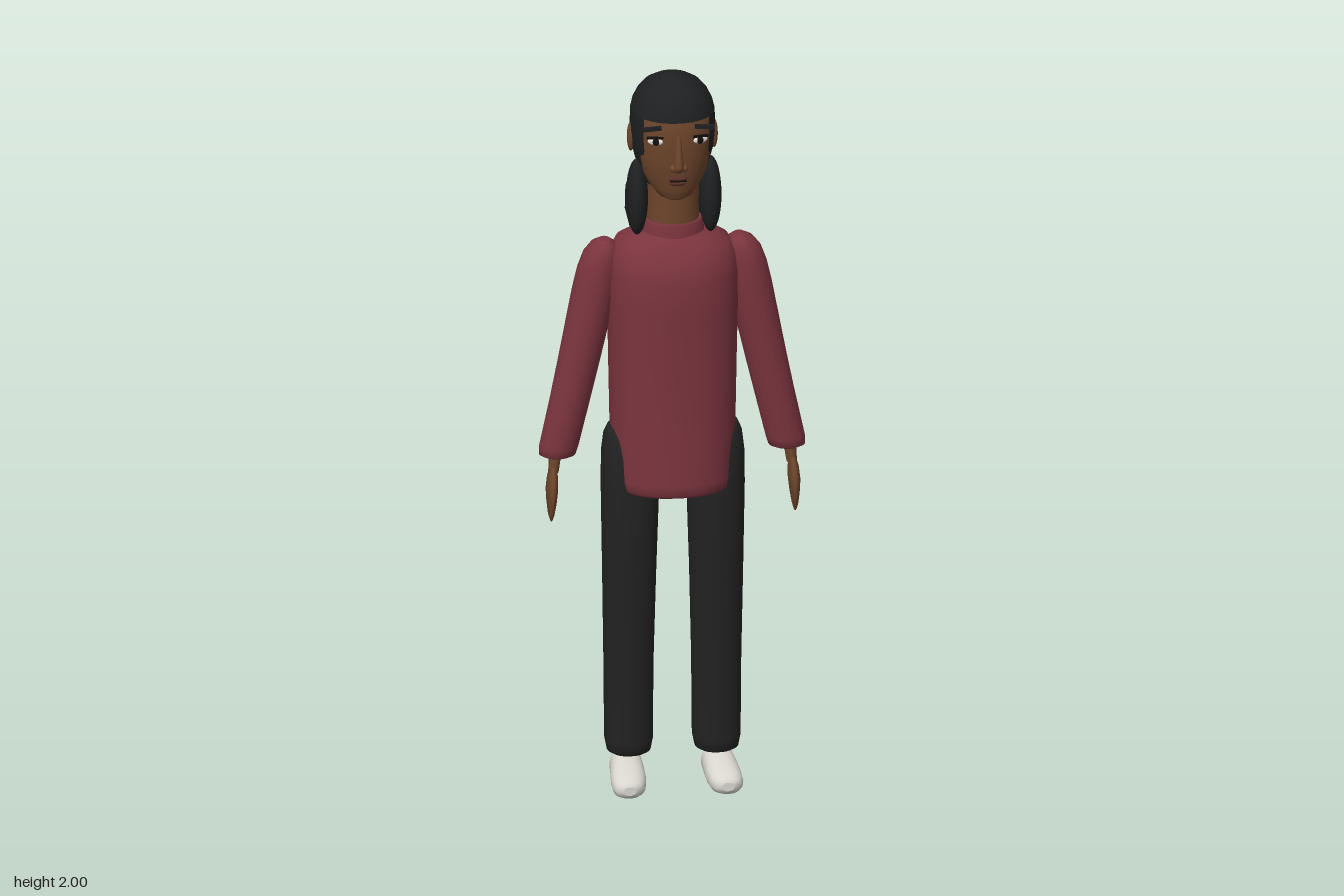
import * as THREE from 'three';

const paint = (name, color) => {
  const m = new THREE.MeshStandardMaterial({ color });
  m.name = name;
  return m;
};

// Skin over stacked superellipse sections [y, rx, rz, cx, cz], bottom to top.
function loft(sections, { p = 2, n = 32, from = 0, to = Math.PI * 2 } = {}) {
  const pos = [], idx = [];
  const full = to - from > 6.28, cols = full ? n : n + 1;
  const bend = v => Math.sign(v) * Math.abs(v) ** (2 / p);
  const ring = ([y, rx, rz, cx = 0, cz = 0]) => {
    const start = pos.length / 3;
    for (let j = 0; j < cols; j++) {
      const a = from + (to - from) * j / n;
      pos.push(cx + rx * bend(Math.sin(a)), y, cz + rz * bend(Math.cos(a)));
    }
    return start;
  };
  sections.forEach(ring);
  for (let i = 0; i < sections.length - 1; i++) {
    for (let j = 0; j < n; j++) {
      const k = (j + 1) % cols, a = i * cols, b = a + cols;
      idx.push(a + j, a + k, b + k, a + j, b + k, b + j);
    }
  }
  // End caps with their own corners so the rims stay crisp
  for (const top of [false, true]) {
    const s = sections[top ? sections.length - 1 : 0];
    const start = ring(s), mid = pos.length / 3;
    pos.push(s[3] || 0, s[0], s[4] || 0);
    for (let j = 0; j < n; j++) {
      const a = start + j, b = start + (j + 1) % cols;
      if (top) idx.push(a, b, mid); else idx.push(b, a, mid);
    }
  }
  const g = new THREE.BufferGeometry();
  g.setAttribute('position', new THREE.Float32BufferAttribute(pos, 3));
  g.setIndex(idx);
  g.computeVertexNormals();
  return g;
}

export function createModel() {
  const model = new THREE.Group();
  const wine = paint('wine sweater', 0x7b343e);
  const black = paint('black trousers', 0x222223);
  const hair = paint('black hair', 0x1f2021);
  const skin = paint('brown skin', 0x6d452b);
  const white = paint('off-white shoe', 0xd9d6cf);
  const eyeWhite = paint('eye white', 0xe8e4dc);
  const dark = paint('dark pupil', 0x120e0c);
  const lip = paint('lip brown', 0x573026);

  const add = (name, geometry, material, parent = model) => {
    const m = new THREE.Mesh(geometry, material);
    m.name = name;
    parent.add(m);
    return m;
  };
  const blob = (name, material, [x, y, z], [sx, sy, sz], parent) => {
    const m = add(name, new THREE.SphereGeometry(1, 24, 16), material, parent);
    m.position.set(x, y, z);
    m.scale.set(sx, sy, sz);
    return m;
  };

  // Sweater body and collar
  add('sweaterBody', loft([
    [0.845, 0.145, 0.125], [0.855, 0.157, 0.137], [0.88, 0.162, 0.142, 0, -0.004], [1.0, 0.166, 0.136, 0, -0.004],
    [1.2, 0.17, 0.133, 0, -0.005], [1.36, 0.173, 0.137, 0, -0.002], [1.45, 0.173, 0.138, 0, -0.003],
    [1.5, 0.168, 0.129, 0, -0.008], [1.535, 0.15, 0.108, 0, -0.01], [1.555, 0.115, 0.088, 0, -0.005], [1.565, 0.08, 0.07],
  ], { p: 2.25, n: 40 }), wine);
  add('collar', loft([
    [1.54, 0.088, 0.079], [1.57, 0.083, 0.075], [1.592, 0.08, 0.073], [1.598, 0.076, 0.07],
  ]), wine);
  add('neck', loft([[1.55, 0.072, 0.068], [1.64, 0.069, 0.066], [1.74, 0.071, 0.068]]), skin);

  for (const s of [1, -1]) {
    const side = new THREE.Group();
    side.name = s > 0 ? 'leftLimbs' : 'rightLimbs';
    model.add(side);

    // Sleeve, wrist and hand
    add('sleeve', loft([
      [0.932, 0.036, 0.034, 0.307, -0.012], [0.938, 0.049, 0.045, 0.306, -0.012], [0.96, 0.052, 0.048, 0.302, -0.012],
      [1.1, 0.054, 0.053, 0.27, -0.013], [1.2, 0.056, 0.056, 0.248, -0.014], [1.3, 0.058, 0.059, 0.227, -0.014],
      [1.4, 0.059, 0.06, 0.207, -0.014], [1.46, 0.056, 0.059, 0.196, -0.014], [1.5, 0.048, 0.054, 0.189, -0.014],
      [1.525, 0.034, 0.041, 0.183, -0.014], [1.537, 0.015, 0.02, 0.18, -0.014],
    ].map(([y, a, b, x, z]) => [y, a, b, s * x, z])), wine, side);
    add('wrist', loft([
      [0.89, 0.014, 0.018, s * 0.318, 0], [0.945, 0.017, 0.02, s * 0.312, -0.005],
    ], { n: 16 }), skin, side);
    add('hand', loft([
      [0.757, 0.003, 0.012, 0.325, 0.008], [0.775, 0.008, 0.028, 0.325, 0.008], [0.81, 0.013, 0.04, 0.324, 0.008],
      [0.845, 0.016, 0.043, 0.323, 0.008], [0.88, 0.014, 0.034, 0.321, 0.006], [0.905, 0.008, 0.018, 0.319, 0.004],
    ].map(([y, a, b, x, z]) => [y, a, b, s * x, z]), { n: 20 }), skin, side);

    // Trouser leg, rising outside the sweater at the hip
    add('trouserLeg', loft([
      [0.092, 0.045, 0.048, 0.117, -0.005], [0.1, 0.058, 0.06, 0.117, -0.005], [0.13, 0.064, 0.066, 0.117, -0.006],
      [0.35, 0.066, 0.064, 0.117, -0.006], [0.6, 0.071, 0.072, 0.116, 0], [0.85, 0.077, 0.081, 0.114, 0.002],
      [0.94, 0.075, 0.078, 0.115, 0], [0.99, 0.069, 0.07, 0.115, 0], [1.015, 0.058, 0.055, 0.115, 0],
      [1.027, 0.03, 0.03, 0.115, 0],
    ].map(([y, a, b, x, z]) => [y, a, b, s * x, z]), { p: 2.3 }), black, side);

    // Shoe, lofted heel to toe
    const shoe = loft([
      [-0.05, 0.022, 0.028, 0.121, -0.045], [-0.044, 0.036, 0.041, 0.121, -0.045], [-0.025, 0.043, 0.045, 0.122, -0.046],
      [0.02, 0.045, 0.043, 0.124, -0.043], [0.07, 0.047, 0.036, 0.127, -0.036], [0.11, 0.044, 0.031, 0.13, -0.031],
      [0.13, 0.034, 0.023, 0.131, -0.029], [0.137, 0.016, 0.012, 0.131, -0.028],
    ].map(([z, a, b, x, y]) => [z, a, b, s * x, y]), { p: 2.3 });
    add('shoe', shoe.rotateX(Math.PI / 2), white, side);
  }

  // Head
  const head = new THREE.Group();
  head.name = 'head';
  model.add(head);
  add('face', loft([
    [1.672, 0.022, 0.022, 0, 0.06], [1.682, 0.045, 0.045, 0, 0.05], [1.705, 0.066, 0.072, 0, 0.028],
    [1.74, 0.086, 0.097, 0, 0.012], [1.79, 0.1, 0.113, 0, 0.005], [1.85, 0.107, 0.12], [1.9, 0.106, 0.117],
    [1.94, 0.092, 0.1],
  ], { p: 2.25, n: 40 }), skin, head);

  // Hair: cap with a straight fringe, then the back wrapping the face
  add('hairCap', loft([
    [1.903, 0.111, 0.127, 0, -0.004], [1.925, 0.106, 0.123, 0, -0.005], [1.95, 0.094, 0.11, 0, -0.004],
    [1.972, 0.076, 0.089, 0, -0.002], [1.988, 0.052, 0.062, 0, 0.002], [1.997, 0.026, 0.031, 0, 0.005], [2.0, 0.004, 0.005, 0, 0.006],
  ], { p: 2.1, n: 40 }), hair, head);
  add('hairBack', loft([
    [1.7, 0.072, 0.085, 0, -0.01], [1.75, 0.095, 0.11, 0, -0.007], [1.8, 0.108, 0.124, 0, -0.007],
    [1.85, 0.113, 0.129, 0, -0.006], [1.904, 0.111, 0.127, 0, -0.004],
  ], { p: 2.1, n: 40, from: 0.88, to: Math.PI * 2 - 0.88 }), hair, head);
  add('ponytail', loft([
    [1.495, 0.05, 0.018, 0, -0.122], [1.505, 0.08, 0.03, 0, -0.115], [1.53, 0.1, 0.043, 0, -0.104],
    [1.59, 0.115, 0.052, 0, -0.096], [1.65, 0.114, 0.051, 0, -0.092], [1.71, 0.098, 0.045, 0, -0.085],
    [1.75, 0.072, 0.034, 0, -0.08], [1.775, 0.03, 0.015, 0, -0.078],
  ], { p: 2.3 }), hair, head);

  for (const s of [1, -1]) {
    blob('sideLock', hair, [s * 0.098, 1.665, 0.022], [0.029, 0.106, 0.045], head);
    blob('ear', skin, [s * 0.111, 1.825, -0.006], [0.01, 0.04, 0.021], head);

    // Eyes and brows
    blob('eyeWhite', eyeWhite, [s * 0.06, 1.849, 0.106], [0.021, 0.01, 0.007], head).rotation.y = s * 0.35;
    blob('iris', dark, [s * 0.059, 1.849, 0.1105], [0.01, 0.01, 0.005], head).rotation.y = s * 0.35;
    const lash = add('eyelid', new THREE.BoxGeometry(0.044, 0.005, 0.009), dark, head);
    lash.position.set(s * 0.061, 1.86, 0.108);
    lash.rotation.set(0, s * 0.35, -s * 0.08);
    const brow = add('brow', new THREE.BoxGeometry(0.052, 0.011, 0.009), hair, head);
    brow.position.set(s * 0.071, 1.889, 0.117);
    brow.rotation.z = -s * 0.06;
    blob('nostril', skin, [s * 0.013, 1.776, 0.121], [0.011, 0.01, 0.013], head);
  }

  // Nose and mouth
  add('nose', loft([
    [1.765, 0.009, 0.012, 0, 0.118], [1.774, 0.014, 0.022, 0, 0.123], [1.785, 0.014, 0.023, 0, 0.124],
    [1.82, 0.01, 0.018, 0, 0.119], [1.865, 0.007, 0.01, 0, 0.112],
  ], { n: 16 }), skin, head);
  blob('upperLip', lip, [0, 1.744, 0.111], [0.026, 0.007, 0.011], head);
  blob('lowerLip', lip, [0, 1.73, 0.108], [0.022, 0.008, 0.011], head);
  const mouth = add('mouthLine', new THREE.BoxGeometry(0.044, 0.003, 0.008), dark, head);
  mouth.position.set(0, 1.738, 0.116);

  return model;
}
